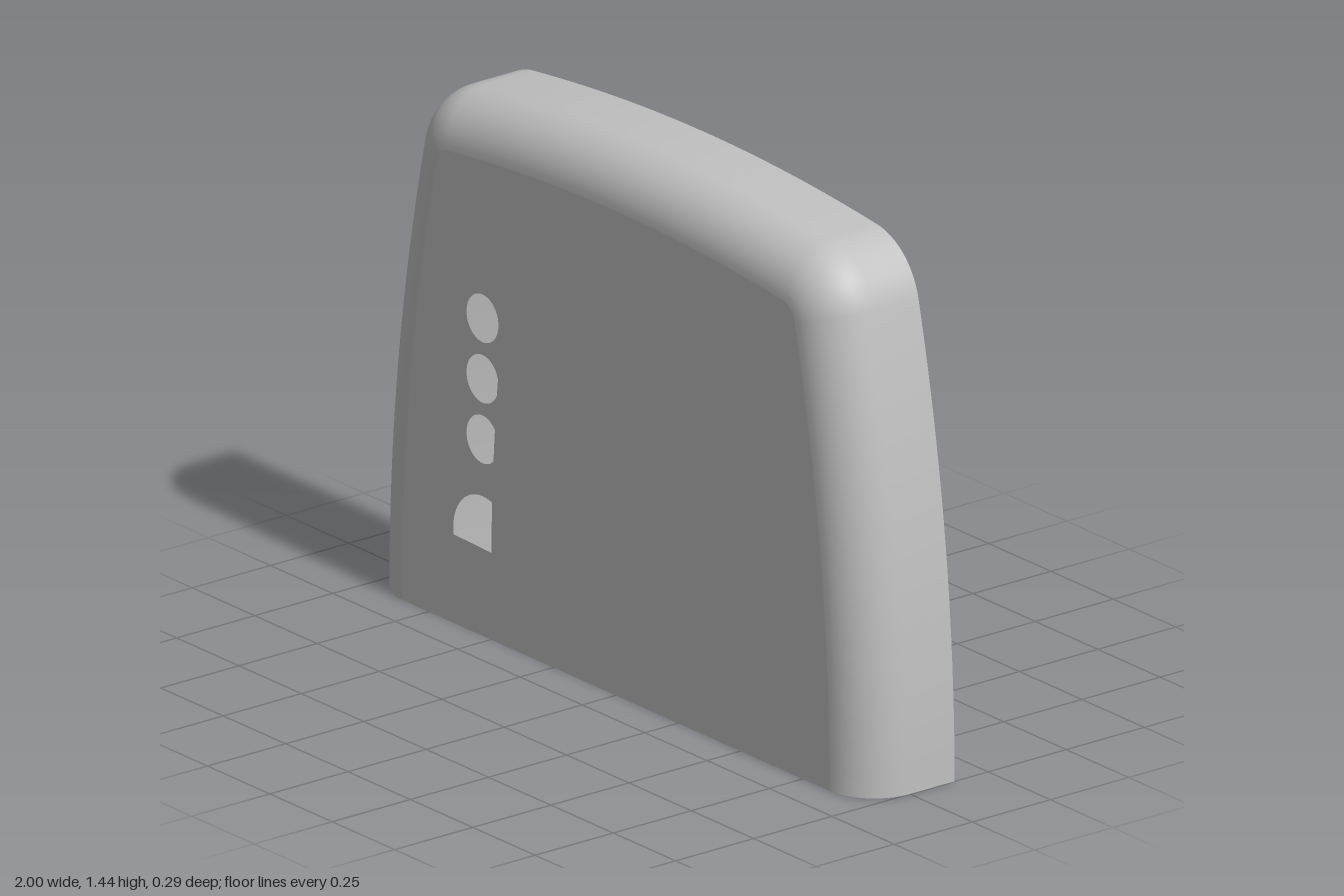
import * as THREE from 'three';

const HALF = 0.143;   // half depth, also the radius of the rounded front edge
const CORNER = 0.194; // radius of the upper corners

// Outline points with outward normals, from the right foot over the top to the left foot
function makeOutline() {
  const right = [];
  const add = (x, y, nx, ny) => {
    const l = Math.hypot(nx, ny);
    right.push({ x, y, nx: nx / l, ny: ny / l });
  };
  for (let i = 0; i <= 20; i++) { // bowed side
    const y = 1.25 * i / 20;
    add(1 - 0.0928 * y * y, y, 1, 0.1856 * y);
  }
  const a0 = Math.atan2(0.232, 1), a1 = Math.atan2(1, 0.117);
  const cx = 0.855 - CORNER * Math.cos(a0), cy = 1.25 - CORNER * Math.sin(a0);
  for (let i = 1; i <= 16; i++) { // round corner
    const a = a0 + (a1 - a0) * i / 16;
    add(cx + CORNER * Math.cos(a), cy + CORNER * Math.sin(a), Math.cos(a), Math.sin(a));
  }
  const end = right[right.length - 1];
  const x0 = end.x, y0 = end.y;
  for (let i = 1; i <= 12; i++) { // crowned top
    const x = x0 * (1 - i / 12);
    add(x, y0 + 0.0405 * (1 - (x / x0) ** 2), 0.117 * x / x0, 1);
  }
  const left = right.slice(0, -1).reverse().map(p => ({ ...p, x: -p.x, nx: -p.nx }));
  return [...right, ...left];
}

// Sweep a profile of [inset, z] pairs along the outline
function sweep(outline, profile) {
  const pos = [], index = [], m = profile.length;
  for (const p of outline)
    for (const [d, z] of profile) pos.push(p.x - p.nx * d, p.y - p.ny * d, z);
  for (let i = 0; i < outline.length - 1; i++)
    for (let j = 0; j < m - 1; j++) {
      const a = i * m + j, b = a + m;
      index.push(a, b, a + 1, b, b + 1, a + 1);
    }
  const g = new THREE.BufferGeometry();
  g.setAttribute('position', new THREE.Float32BufferAttribute(pos, 3));
  g.setIndex(index);
  g.computeVertexNormals();
  return g;
}

const insetShape = (outline, d) =>
  new THREE.Shape(outline.map(p => new THREE.Vector2(p.x - p.nx * d, p.y - p.ny * d)));

function circleHole(x, y, r) {
  return new THREE.Path().absarc(x, y, r, 0, Math.PI * 2, true);
}

function slotHole(x0, x1, y0, y1, r) {
  const p = new THREE.Path();
  p.absarc(x0 + r, y0 + r, r, Math.PI, Math.PI * 1.5);
  p.absarc(x1 - r, y0 + r, r, Math.PI * 1.5, Math.PI * 2);
  p.absarc(x1 - r, y1 - r, r, 0, Math.PI / 2);
  p.absarc(x0 + r, y1 - r, r, Math.PI / 2, Math.PI);
  p.closePath();
  return p;
}

export function createModel() {
  const group = new THREE.Group();
  group.name = 'panelHousing';
  const grey = new THREE.MeshStandardMaterial({ color: 0xc0c0c0, side: THREE.DoubleSide });
  grey.name = 'light grey';
  const add = (name, geometry) => {
    const mesh = new THREE.Mesh(geometry, grey);
    mesh.name = name;
    group.add(mesh);
    return mesh;
  };
  const outline = makeOutline();

  // Outer rim: straight at the back, rounded over to the front
  const arc = [];
  for (let i = 0; i <= 14; i++) {
    const a = Math.PI / 2 * i / 14;
    arc.push([HALF * (1 - Math.cos(a)), HALF * Math.sin(a)]);
  }
  add('outerRim', sweep(outline, [[0, -HALF], ...arc]));

  // Inner wall of the hollow, open at the bottom
  add('innerWall', sweep(outline, [[HALF, -HALF], [HALF, HALF]]));

  // Front panel with slots and round openings
  const front = insetShape(outline, HALF);
  for (const s of [-1, 1]) {
    front.holes.push(slotHole(s * 0.2135 - 0.109, s * 0.2135 + 0.109, 0.15, 1.115, 0.04));
    for (const y of [0.85, 0.688, 0.526]) front.holes.push(circleHole(s * 0.534, y, 0.064));
    front.holes.push(circleHole(s * 0.534, 0.257, 0.117));
  }
  add('frontPanel', new THREE.ShapeGeometry(front, 24)).position.z = HALF;

  // Flat back panel
  const back = new THREE.ShapeGeometry(insetShape(outline, 0));
  back.rotateY(Math.PI);
  add('backPanel', back).position.z = -HALF;

  // Feet: flat undersides of the two rims
  for (const s of [-1, 1]) {
    const foot = new THREE.Shape([
      new THREE.Vector2(s * (1 - HALF), -HALF),
      new THREE.Vector2(s, -HALF),
      ...arc.map(([d, z]) => new THREE.Vector2(s * (1 - d), z)),
    ]);
    const g = new THREE.ShapeGeometry(foot);
    g.rotateX(Math.PI / 2);
    add(s > 0 ? 'leftFoot' : 'rightFoot', g);
  }
  return group;
}
